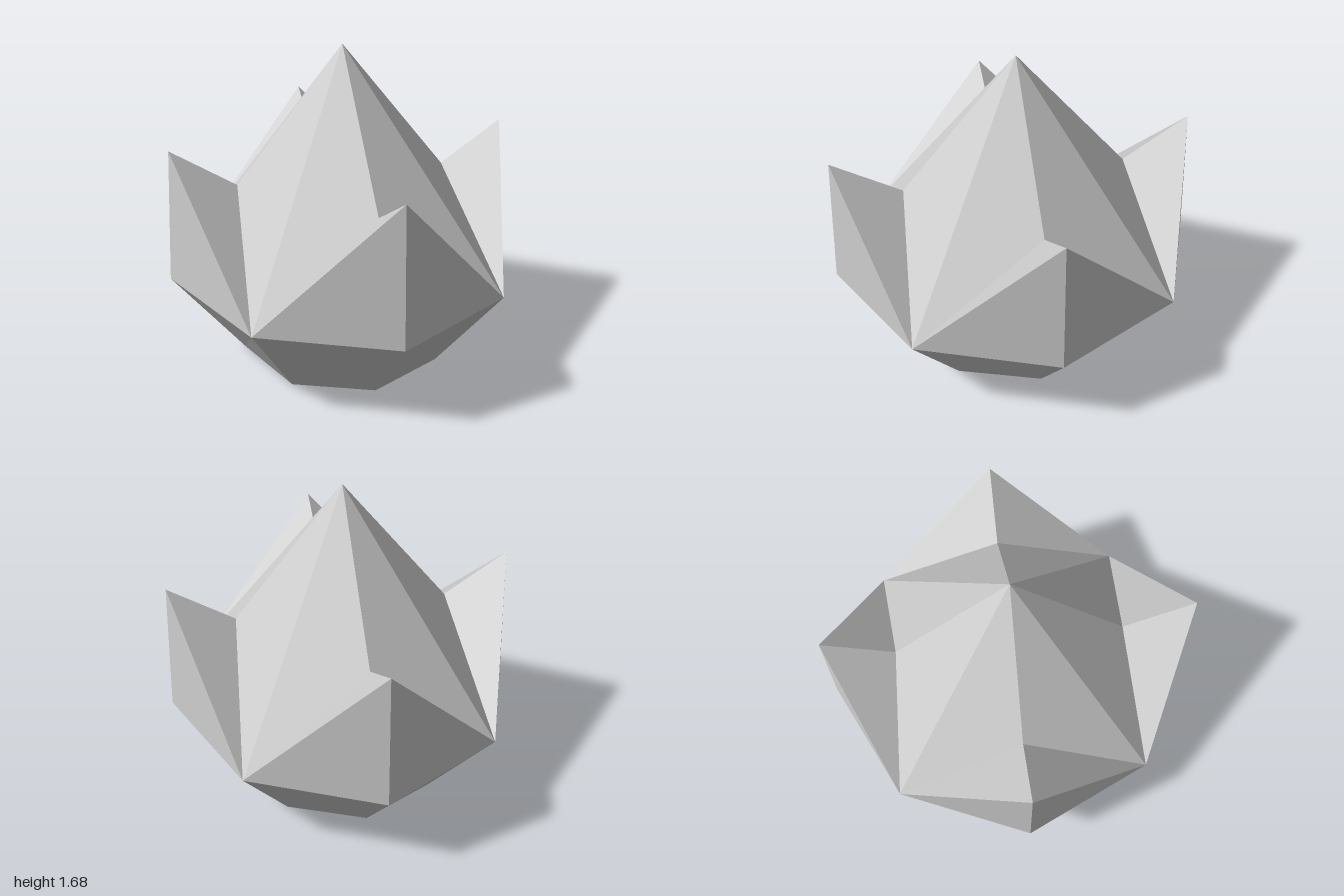
import * as THREE from 'three';

const material = new THREE.MeshStandardMaterial({ color: 0xcccccc, flatShading: true });

// Point at eighth-turn k around the slightly oval plan (k = 0 faces the front)
function at(k, radius, y) {
  const a = (k * Math.PI) / 4;
  return new THREE.Vector3(0.945 * radius * Math.sin(a), y, radius * Math.cos(a));
}

function facetMesh(name, triangles) {
  const geometry = new THREE.BufferGeometry().setFromPoints(triangles.flat());
  geometry.computeVertexNormals();
  const mesh = new THREE.Mesh(geometry, material);
  mesh.name = name;
  return mesh;
}

const foot = (k) => at(k, 0.6, 0);
const rim = (k) => at(k, k % 2 ? 0.97 : 1, 0.49);
const notch = (k) => at(k, 0.6, 0.98);
const tip = (k) => at(k, 0.955, 1.2);
const apex = new THREE.Vector3(0, 1.68, 0);

export function createModel() {
  const group = new THREE.Group();
  group.name = 'crystalLotus';

  // Flared eight-sided bowl with a flat bottom
  const bowl = [];
  for (let k = 0; k < 8; k++) {
    bowl.push([foot(k), foot(k + 1), rim(k + 1)], [foot(k), rim(k + 1), rim(k)]);
    bowl.push([new THREE.Vector3(), foot(k + 1), foot(k)]);
  }
  group.add(facetMesh('bowl', bowl));

  const spire = [];
  ['frontPetal', 'leftPetal', 'backPetal', 'rightPetal'].forEach((name, i) => {
    const k = i * 2;
    const a = rim(k - 1), b = rim(k + 1);
    // Pointed petal: two outer facets, two facets sloping inwards
    group.add(facetMesh(name, [
      [a, rim(k), tip(k)], [rim(k), b, tip(k)],
      [a, tip(k), notch(k)], [tip(k), b, notch(k)],
    ]));
    // Central spire facets meeting the petal at its notch
    spire.push([a, notch(k), apex], [notch(k), b, apex]);
  });
  group.add(facetMesh('spire', spire));

  return group;
}
